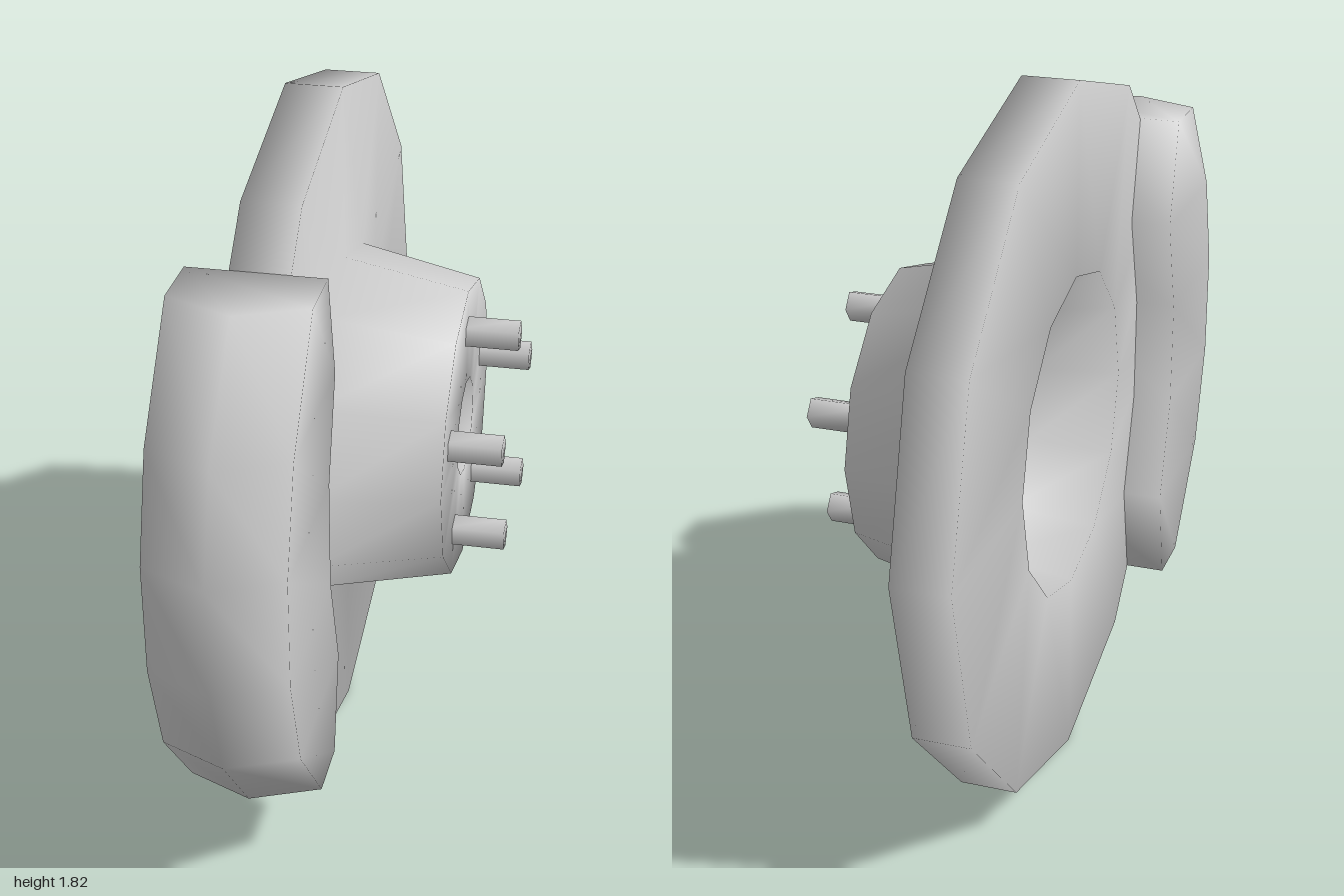
import * as THREE from 'three';
import { mergeVertices } from 'three/addons/utils/BufferGeometryUtils.js';

const grey = new THREE.MeshStandardMaterial({ color: 0xcccccc });
grey.name = 'grey metal';

// Weld shared corners so the shading is smooth across every edge
function smooth(geometry) {
  geometry.deleteAttribute('normal');
  geometry.deleteAttribute('uv');
  const welded = mergeVertices(geometry, 1e-4);
  welded.computeVertexNormals();
  return welded;
}

// Turn a [radius, x] profile around the x axis
function turned(name, profile, sides, start = 0) {
  const points = profile.map(([r, x]) => new THREE.Vector2(r, x));
  const geometry = new THREE.LatheGeometry(points, sides, start);
  geometry.rotateZ(-Math.PI / 2);
  const mesh = new THREE.Mesh(smooth(geometry), grey);
  mesh.name = name;
  return mesh;
}

// Loft a five-sided, ridged section through levels of [y, inner z, outer z]
function buildCaliper() {
  const levels = [
    [0.245, 0.485, 0.71], [0.506, 0.425, 0.92], [0.772, 0.505, 1.0],
    [1.054, 0.505, 1.0], [1.31, 0.425, 0.92], [1.58, 0.485, 0.71],
  ];
  const positions = [], index = [], n = 5;
  levels.forEach(([y, inner, outer]) => positions.push(
    -0.355, y, inner, -0.02, y, inner,
    -0.02, y, outer - 0.07, -0.19, y, outer, -0.355, y, outer - 0.07));
  for (let i = 0; i < levels.length - 1; i++) {
    for (let j = 0; j < n; j++) {
      const a = i * n + j, b = i * n + (j + 1) % n;
      index.push(a, a + n, b + n, a, b + n, b);
    }
  }
  // end caps
  const top = (levels.length - 1) * n;
  for (let k = 1; k < n - 1; k++) {
    index.push(0, k, k + 1, top, top + k + 1, top + k);
  }
  const geometry = new THREE.BufferGeometry();
  geometry.setAttribute('position', new THREE.Float32BufferAttribute(positions, 3));
  geometry.setIndex(index);
  geometry.computeVertexNormals();
  const mesh = new THREE.Mesh(geometry, grey);
  mesh.name = 'caliper';
  return mesh;
}

export function createModel() {
  const model = new THREE.Group();
  model.name = 'brakeDisc';

  const rotor = new THREE.Group();
  rotor.name = 'rotor';
  rotor.position.set(0, 0.91, -0.09);
  model.add(rotor);

  // Disc with raised hat, centre bore and hollow back
  rotor.add(turned('discAndHat', [
    [0.91, -0.25], [0.91, -0.105], [0.457, -0.105], [0.39, 0.215],
    [0.13, 0.215], [0.13, -0.03], [0.38, -0.03], [0.42, -0.25], [0.91, -0.25],
  ], 12));

  // Five wheel studs around the bore
  for (let i = 0; i < 5; i++) {
    const angle = i * Math.PI * 2 / 5;
    const stud = turned('stud' + (i + 1),
      [[0, 0.19], [0.041, 0.19], [0.041, 0.35], [0, 0.35]], 5, Math.PI);
    stud.position.set(0, 0.275 * Math.cos(angle), 0.275 * Math.sin(angle));
    rotor.add(stud);
  }

  model.add(buildCaliper());
  return model;
}
